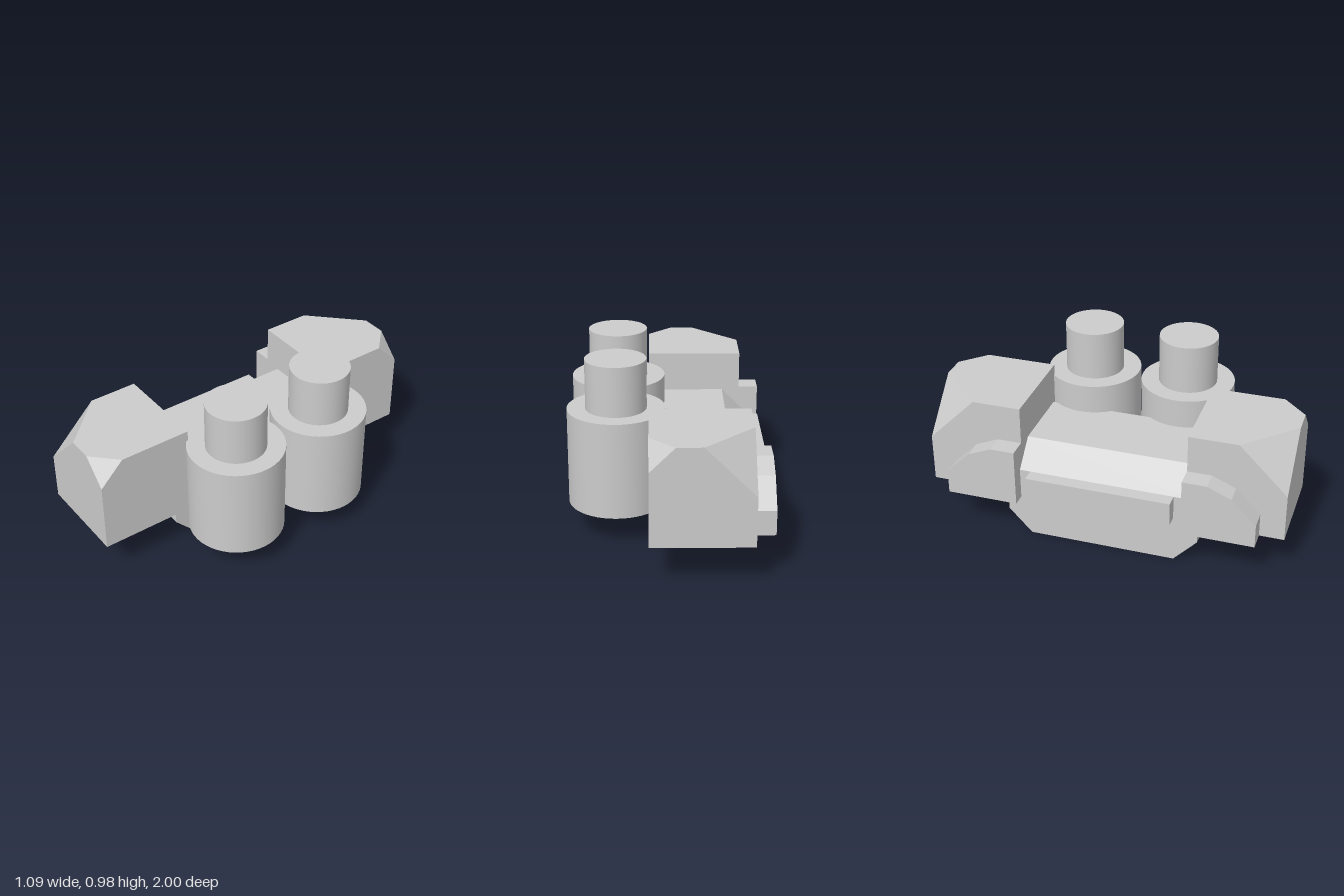
import * as THREE from 'three';
import { ConvexGeometry } from 'three/addons/geometries/ConvexGeometry.js';

const solid = new THREE.MeshStandardMaterial({ color: 0xcccccc });
const flat = new THREE.MeshStandardMaterial({ color: 0xcccccc, flatShading: true });
const sheetMat = new THREE.MeshStandardMaterial({ color: 0xcccccc, flatShading: true, side: THREE.DoubleSide });

function add(parent, name, geometry, material) {
  const mesh = new THREE.Mesh(geometry, material);
  mesh.name = name;
  parent.add(mesh);
  return mesh;
}

const toShape = (pts) => new THREE.Shape(pts.map(([a, b]) => new THREE.Vector2(a, b)));

// Flat sheet with a [z, y] outline, standing at the given x
function sheet(outline, x, hole) {
  const shape = toShape(outline);
  if (hole) shape.holes.push(toShape(hole));
  return new THREE.ShapeGeometry(shape).rotateY(-Math.PI / 2).translate(x, 0, 0);
}

// Open strip: joins two matching lines of 3D points
function strip(lineA, lineB) {
  const pos = [];
  for (let i = 0; i < lineA.length - 1; i++) {
    const [a, b, c, d] = [lineA[i], lineA[i + 1], lineB[i + 1], lineB[i]];
    pos.push(...a, ...b, ...c, ...a, ...c, ...d);
  }
  const geo = new THREE.BufferGeometry();
  geo.setAttribute('position', new THREE.Float32BufferAttribute(pos, 3));
  geo.computeVertexNormals();
  return geo;
}

export function createModel() {
  const model = new THREE.Group();
  model.name = 'model';

  // Central body: a hollow shell, open underneath
  const body = new THREE.Group();
  body.name = 'body';
  model.add(body);
  const xIn = -0.47, xOut = 0.065, zEnd = 0.54;
  const outline = (top) => [[-0.41, 0], [0.41, 0], [zEnd, 0.137], [zEnd, top], [-zEnd, top], [-zEnd, 0.137]];
  const panel = [[-0.27, 0.137], [0.27, 0.137], [0.405, 0.27], [0.405, 0.405], [-0.405, 0.405], [-0.405, 0.27]];
  const panelHole = panel.map(([z, y]) => [z, Math.min(y, 0.4)]);
  add(body, 'bodyRightPlate', sheet(outline(0.405), xIn, panelHole), sheetMat);
  add(body, 'bodyLeftPlate', sheet(outline(0.54), xOut), sheetMat);
  const roof = [[xIn, 0.405], [-0.335, 0.54], [xOut, 0.54]];
  add(body, 'bodyRoof', strip(
    roof.map(([x, y]) => [x, y, zEnd]),
    roof.map(([x, y]) => [x, y, -zEnd])), sheetMat);
  for (const s of [1, -1]) {
    add(body, 'bodyEndWall', strip(
      [[xIn, 0.137, s * zEnd], [xOut, 0.137, s * zEnd]],
      [[xIn, 0.235, s * zEnd], [xOut, 0.235, s * zEnd]]), sheetMat);
  }

  // Raised side panel, hollow from within, with a divider in the middle
  const xPanel = -0.545;
  const loop = [...panel, panel[0]];
  add(body, 'panelFace', sheet(panel, xPanel), sheetMat);
  add(body, 'panelRim', strip(
    loop.map(([z, y]) => [xIn, y, z]),
    loop.map(([z, y]) => [xPanel, y, z])), sheetMat);
  add(body, 'panelDivider', strip(
    [[xIn, 0.137, 0], [xPanel, 0.137, 0]],
    [[xIn, 0.405, 0], [xPanel, 0.405, 0]]), sheetMat);

  for (const s of [1, -1]) {
    // End block with its two outer top corners cut off
    const x0 = -0.435, x1 = 0.1, y0 = 0.23, y1 = 0.765, zi = 0.465, zo = 1;
    const big = 0.265, small = 0.133;
    const corners = [
      [x0, y0, zi], [x1, y0, zi], [x0, y1, zi], [x1, y1, zi], [x0, y0, zo], [x1, y0, zo],
      [x0 + big, y1, zo], [x0, y1 - big, zo], [x0, y1, zo - big],
      [x1 - small, y1, zo], [x1, y1 - small, zo], [x1, y1, zo - small],
    ].map(([x, y, z]) => new THREE.Vector3(x, y, s * z));
    add(model, 'endBlock', new ConvexGeometry(corners), flat);

    // Stepped bracket on the side of the block
    const bracket = [[zi, y0], [0.865, y0], [0.865, 0.365], [0.73, 0.5], [0.6, 0.555], [zi, 0.555]];
    const points = [x0, xPanel].flatMap((x) => bracket.map(([z, y]) => new THREE.Vector3(x, y, s * z)));
    add(model, 'sideBracket', new ConvexGeometry(points), flat);

    // Canister with a narrower neck
    const canister = new THREE.Group();
    canister.name = 'canister';
    canister.position.set(0.275, 0, s * 0.277);
    model.add(canister);
    add(canister, 'canisterBody', new THREE.CylinderGeometry(0.265, 0.265, 0.535, 48), solid).position.y = 0.4375;
    add(canister, 'canisterNeck', new THREE.CylinderGeometry(0.165, 0.165, 0.275, 48), solid).position.y = 0.8425;
  }
  return model;
}
